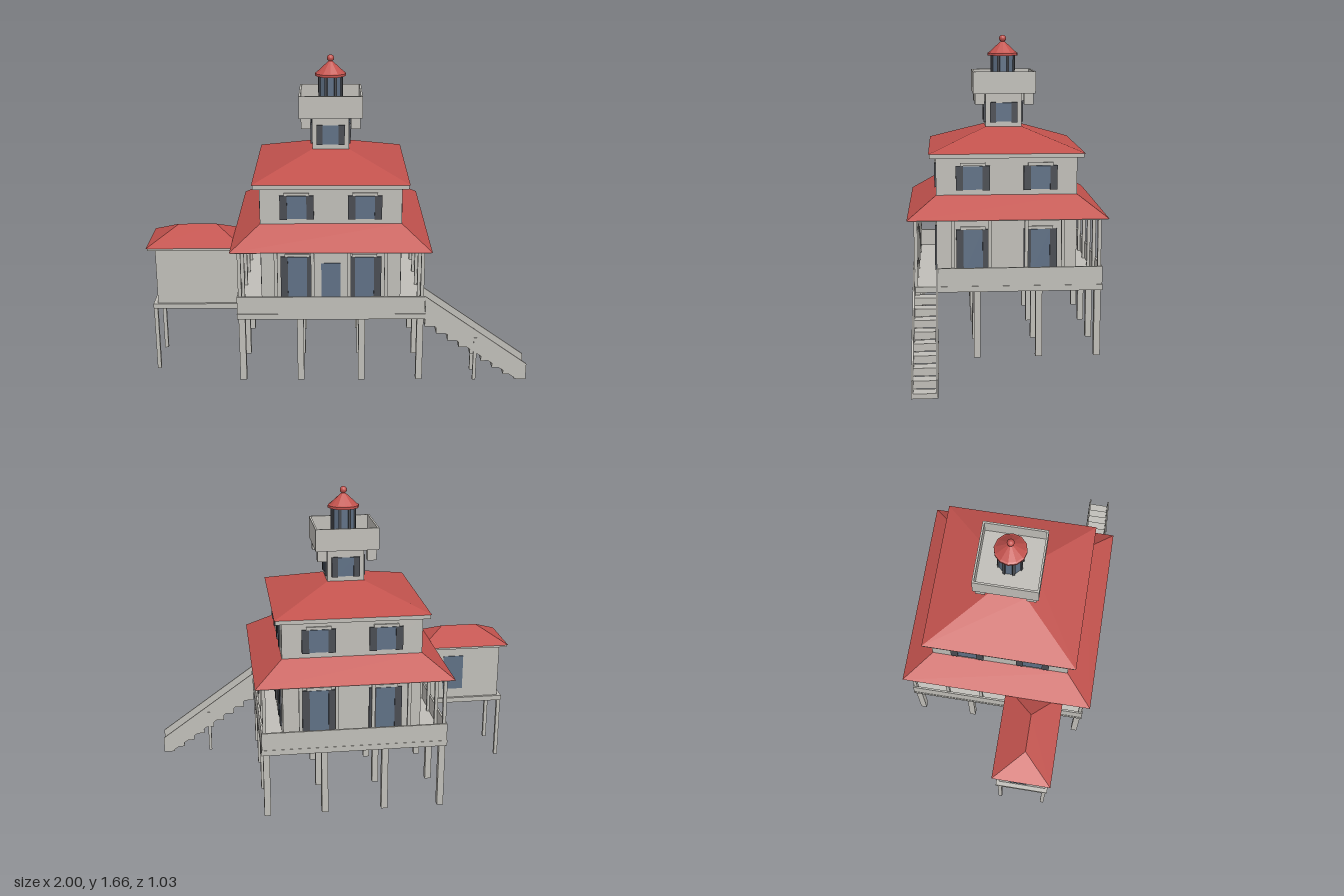
import * as THREE from 'three';

const mat = (name, color) => {
  const m = new THREE.MeshStandardMaterial({ color });
  m.name = name;
  return m;
};

export function createModel() {
  const wall = mat('grey paint', 0xc0beb8);
  const red = mat('red roofing', 0xc2524d);
  const glass = mat('blue glass', 0x5f7085);
  const dark = mat('dark shutter', 0x494c52);

  const root = new THREE.Group();
  root.name = 'stiltLighthouse';
  const house = new THREE.Group();
  house.name = 'house';
  house.position.x = -0.035;
  root.add(house);

  const add = (parent, name, geo, m, x = 0, y = 0, z = 0) => {
    const mesh = new THREE.Mesh(geo, m);
    mesh.name = name;
    mesh.position.set(x, y, z);
    parent.add(mesh);
    return mesh;
  };
  // Box given by its lower and upper limits on each axis
  const block = (parent, name, m, x0, x1, y0, y1, z0, z1) =>
    add(parent, name, new THREE.BoxGeometry(x1 - x0, y1 - y0, z1 - z0), m,
      (x0 + x1) / 2, (y0 + y1) / 2, (z0 + z1) / 2);
  // Hipped roof: a box whose upper corners are drawn inwards
  const hip = (parent, name, bx, bz, tx, tz, y0, y1, x = 0, z = 0) => {
    const geo = new THREE.BoxGeometry(2 * bx, y1 - y0, 2 * bz).toNonIndexed();
    const p = geo.attributes.position;
    for (let i = 0; i < p.count; i++) {
      if (p.getY(i) > 0) {
        p.setX(i, Math.sign(p.getX(i)) * tx);
        p.setZ(i, Math.sign(p.getZ(i)) * tz);
      }
    }
    geo.computeVertexNormals();
    return add(parent, name, geo, red, x, (y0 + y1) / 2, z);
  };
  // Four thin walls around a square
  const side = (parent, name, k) => {
    const g = new THREE.Group();
    g.name = name;
    g.rotation.y = k * Math.PI / 2;
    parent.add(g);
    return g;
  };
  // Window on a +z wall: pane, pair of shutters and a header
  const windowSet = (g, x, y0, y1, z, pane, shut, header = true) => {
    const h = pane / 2;
    block(g, 'windowPane', glass, x - h, x + h, y0, y1, z, z + 0.005);
    for (const s of [-1, 1]) {
      const c = x + s * (h + shut / 2);
      block(g, 'shutter', dark, c - shut / 2, c + shut / 2, y0 - 0.003, y1 + 0.003, z, z + 0.009);
    }
    if (header) block(g, 'windowHeader', wall, x - h - 0.015, x + h + 0.015, y1 + 0.003, y1 + 0.018, z, z + 0.009);
  };

  // Piles and deck
  const grid = [-0.465, -0.16, 0.16, 0.465];
  for (const x of grid) for (const z of grid)
    block(house, 'pile', wall, x - 0.017, x + 0.017, 0, 0.36, z - 0.017, z + 0.017);
  block(house, 'deck', wall, -0.49, 0.49, 0.355, 0.385, -0.49, 0.49);

  // Parapet, with an opening for the stairs on the +x side
  for (let k = 0; k < 4; k++) {
    const g = side(house, 'porchSide', k);
    block(g, 'parapet', wall, k === 1 ? -0.36 : -0.488, 0.488, 0.385, 0.48, 0.478, 0.488);
    for (let i = 0; i < 5; i++) {
      const x = -0.472 + i * 0.1888;
      block(g, 'porchPost', wall, x - 0.009, x + 0.009, 0.385, 0.735, 0.463, 0.481);
    }
  }

  // Main house and its two roofs
  block(house, 'mainWalls', wall, -0.367, 0.367, 0.385, 1.04, -0.367, 0.367);
  block(house, 'porchCeiling', wall, -0.51, 0.51, 0.73, 0.735, -0.51, 0.51);
  hip(house, 'porchRoof', 0.516, 0.516, 0.367, 0.367, 0.735, 0.84);
  block(house, 'upperFascia', wall, -0.4, 0.4, 1.035, 1.058, -0.4, 0.4);
  hip(house, 'upperRoof', 0.405, 0.405, 0.098, 0.098, 1.058, 1.167);
  for (let k = 0; k < 4; k++) {
    const g = side(house, 'wallWindows', k);
    for (const x of [-0.176, 0.176]) {
      windowSet(g, x, 0.42, 0.655, 0.367, 0.1, 0.038);
      windowSet(g, x, 0.868, 0.99, 0.367, 0.1, 0.038);
    }
  }
  block(house, 'frontDoor', glass, -0.051, 0.051, 0.385, 0.62, 0.367, 0.373);

  // Tower, gallery and corner brackets
  block(house, 'towerWalls', wall, -0.098, 0.098, 1.15, 1.36, -0.098, 0.098);
  for (let k = 0; k < 4; k++) {
    const g = side(house, 'towerSide', k);
    windowSet(g, 0, 1.193, 1.295, 0.098, 0.085, 0.032, false);
    block(g, 'galleryParapet', wall, -0.167, 0.167, 1.375, 1.465, 0.157, 0.167);
    block(g, 'bracket', wall, 0.106, 0.156, 1.29, 1.35, 0.106, 0.156);
  }
  block(house, 'galleryFloor', wall, -0.167, 0.167, 1.348, 1.375, -0.167, 0.167);

  // Lantern room with eight glazed sides
  const lantern = new THREE.CylinderGeometry(0.064, 0.064, 0.175, 8).toNonIndexed();
  lantern.computeVertexNormals();
  add(house, 'lanternGlass', lantern, glass, 0, 1.4625, 0).rotation.y = Math.PI / 8;
  for (let i = 0; i < 8; i++) {
    const a = (i + 0.5) * Math.PI / 4;
    add(house, 'lanternBar', new THREE.BoxGeometry(0.014, 0.175, 0.014), dark,
      Math.sin(a) * 0.061, 1.4625, Math.cos(a) * 0.061).rotation.y = a;
  }
  const profile = [[0, 1.545], [0.083, 1.545], [0.083, 1.558], [0.074, 1.563], [0.014, 1.618], [0, 1.625]];
  const cap = new THREE.LatheGeometry(profile.map(([x, y]) => new THREE.Vector2(x, y)), 12).toNonIndexed();
  cap.computeVertexNormals();
  add(house, 'lanternRoof', cap, red);
  add(house, 'finial', new THREE.SphereGeometry(0.019, 12, 8), red, 0, 1.637, 0);

  // Annex on its own thin legs
  const annex = new THREE.Group();
  annex.name = 'annex';
  root.add(annex);
  block(annex, 'annexFloor', wall, -0.98, -0.52, 0.357, 0.385, 0.065, 0.355);
  block(annex, 'annexWalls', wall, -0.957, -0.515, 0.385, 0.695, 0.08, 0.342);
  block(annex, 'annexFascia', wall, -0.994, -0.496, 0.69, 0.703, 0.056, 0.361);
  hip(annex, 'annexRoof', 0.255, 0.158, 0.1, 0, 0.703, 0.785, -0.745, 0.208);
  block(annex, 'annexBackWindow', glass, -0.745, -0.63, 0.44, 0.64, 0.075, 0.08);
  block(annex, 'annexSideWindow', glass, -0.962, -0.957, 0.44, 0.64, 0.14, 0.235);
  for (const z of [0.088, 0.336])
    block(annex, 'annexLeg', wall, -0.98, -0.96, 0, 0.36, z - 0.01, z + 0.01);

  // Stairs: treads between two solid sloping sides
  const stairs = new THREE.Group();
  stairs.name = 'stairs';
  root.add(stairs);
  const run = 0.0605;
  for (let i = 0; i < 9; i++) {
    const x = 0.455 + i * run, top = 0.345 - i * 0.04;
    block(stairs, 'tread', wall, x, x + run, Math.max(0, top - 0.038), top, 0.366, 0.48);
  }
  const slope = new THREE.Shape([[0.455, 0.48], [0.455, 0.345], [0.955, 0], [1, 0], [1, 0.09]]
    .map(([x, y]) => new THREE.Vector2(x, y)));
  const panel = new THREE.ExtrudeGeometry(slope, { depth: 0.009, bevelEnabled: false });
  for (const z of [0.361, 0.477]) {
    add(stairs, 'stairSide', panel, wall, 0, 0, z);
    block(stairs, 'stairPost', wall, 0.715, 0.732, 0, 0.245, z - 0.003, z + 0.012);
  }
  return root;
}
